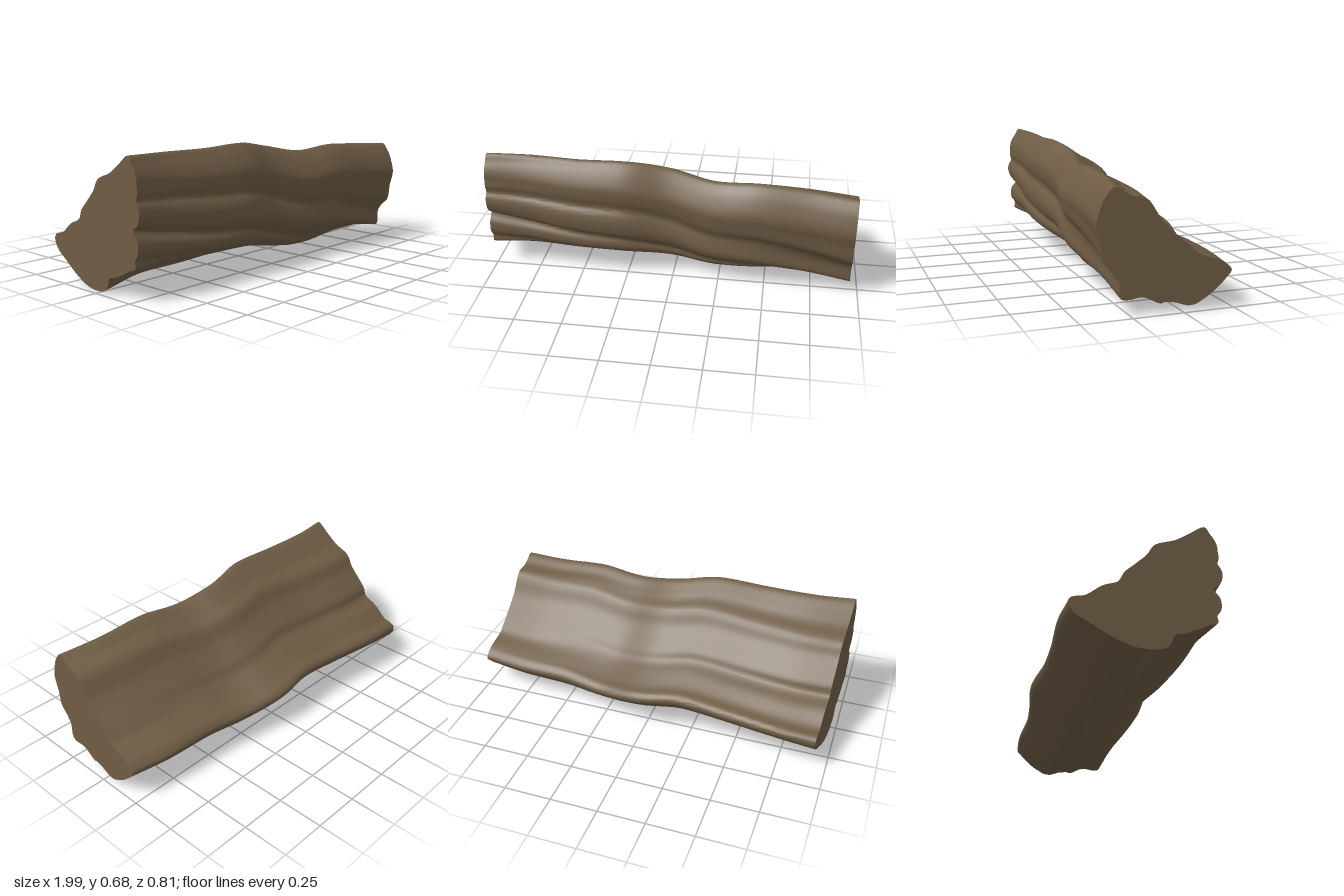
import * as THREE from 'three';
import { toCreasedNormals } from 'three/addons/utils/BufferGeometryUtils.js';

// Sections as [z, y]: top edge, down the bark, under, to the back edge, up the split face.
// Matching points sit lower towards the right end, which twists the bark grooves.
const LEFT = [
  [.25, .685], [.275, .65], [.297, .615], [.308, .58], [.309, .55], [.312, .52], [.304, .485],
  [.318, .46], [.325, .43], [.32, .40], [.305, .37], [.275, .345], [.305, .30], [.307, .24],
  [.285, .205], [.288, .17], [.24, .15], [.19, .125], [.12, .095], [.08, .085], [.045, .02],
  [-.08, .003], [-.2, .043], [-.3, .10], [-.38, .15],
  [-.405, .2], [-.39, .225], [-.33, .24], [-.25, .30], [-.17, .335], [-.15, .38],
  [-.1, .43], [-.04, .49], [0, .55], [.1, .59], [.17, .635]];
const MIDDLE = [
  [.255, .637], [.29, .61], [.325, .56], [.352, .50], [.352, .46], [.345, .42], [.328, .37],
  [.34, .335], [.35, .29], [.345, .25], [.325, .21], [.275, .165], [.277, .135], [.265, .11],
  [.23, .085], [.19, .075], [.15, .065], [.12, .06], [.09, .05], [.05, .045], [.01, .03],
  [-.08, .024], [-.15, .05], [-.23, .10], [-.29, .14],
  [-.32, .19], [-.30, .22], [-.25, .238], [-.165, .282], [-.105, .317], [-.075, .357],
  [-.03, .40], [.03, .46], [.08, .535], [.14, .567], [.19, .6]];
const RIGHT = [
  [.32, .59], [.36, .55], [.385, .50], [.405, .42], [.385, .34], [.37, .25], [.333, .215],
  [.302, .17], [.295, .085], [.26, .075], [.19, .083], [.105, .047], [.085, .052], [.06, .05],
  [.03, .045], [.01, .038], [-.005, .033], [-.02, .028], [-.035, .027], [-.05, .028], [-.07, .033],
  [-.10, .05], [-.13, .068], [-.17, .10], [-.21, .14],
  [-.24, .18], [-.21, .215], [-.17, .235], [-.08, .265], [-.04, .30], [0, .335],
  [.04, .37], [.1, .43], [.16, .52], [.19, .54], [.25, .55]];

// Gentle bends, evenly spaced along the length: [z shift, lift at the bottom, lift at the top]
const BEND = new THREE.CatmullRomCurve3([
  [0, 0, 0], [-.015, .035, .007], [-.004, .035, .015], [-.004, .035, .033], [-.042, .02, .008],
  [-.018, -.012, -.022], [-.005, -.022, .006], [-.015, -.012, .003], [0, 0, 0],
].map((p) => new THREE.Vector3(...p)));

const SUB = 4;    // samples between section points
const STEPS = 56; // sections along the length

function ring(points) {
  const curve = new THREE.CatmullRomCurve3(points.map(([z, y]) => new THREE.Vector3(0, y, z)), true);
  const n = points.length * SUB;
  return Array.from({ length: n }, (_, i) => curve.getPoint(i / n));
}

function logGeometry() {
  const left = ring(LEFT), middle = ring(MIDDLE), right = ring(RIGHT);
  const n = left.length;
  const pos = [], index = [];

  // One smooth grain line per section point, passing through all three sections
  const grain = left.map((p, j) => {
    const control = middle[j].clone().multiplyScalar(2).addScaledVector(p, -.5).addScaledVector(right[j], -.5);
    return new THREE.QuadraticBezierCurve3(p, control, right[j]);
  });

  // Each section is slanted a little, so the sawn ends are too
  const addPoint = (p, t) => {
    const bend = BEND.getPoint(t);
    const lift = THREE.MathUtils.lerp(bend.y, bend.z, Math.min(p.y / .3, 1));
    pos.push(THREE.MathUtils.lerp(-.973, .973, t) - .075 * p.z, p.y + lift, p.z + bend.x);
  };

  // Bark and split face
  for (let i = 0; i <= STEPS; i++) {
    for (const line of grain) addPoint(line.getPoint(i / STEPS), i / STEPS);
  }
  for (let i = 0; i < STEPS; i++) {
    for (let j = 0; j < n; j++) {
      const a = i * n + j, b = i * n + (j + 1) % n;
      index.push(a, b, a + n, b, b + n, a + n);
    }
  }

  // Flat sawn ends
  for (const [t, z, y] of [[0, .03, .31], [1, .1, .27]]) {
    const centre = pos.length / 3;
    addPoint(new THREE.Vector3(0, y, z), t);
    for (let j = 0; j < n; j++) {
      const a = t * STEPS * n + j, b = t * STEPS * n + (j + 1) % n;
      index.push(centre, ...(t ? [a, b] : [b, a]));
    }
  }

  const geo = new THREE.BufferGeometry();
  geo.setAttribute('position', new THREE.Float32BufferAttribute(pos, 3));
  geo.setIndex(index);

  // Stand on the ground, centred
  geo.computeBoundingBox();
  const { min, max } = geo.boundingBox;
  geo.translate(-(min.x + max.x) / 2, -min.y, -(min.z + max.z) / 2);
  return toCreasedNormals(geo, .75);
}

export function createModel() {
  const wood = new THREE.MeshStandardMaterial({ color: 0x6e5c44 });
  wood.name = 'brown wood';

  const log = new THREE.Mesh(logGeometry(), wood);
  log.name = 'splitLog';

  const model = new THREE.Group();
  model.name = 'firewood';
  model.add(log);
  return model;
}
